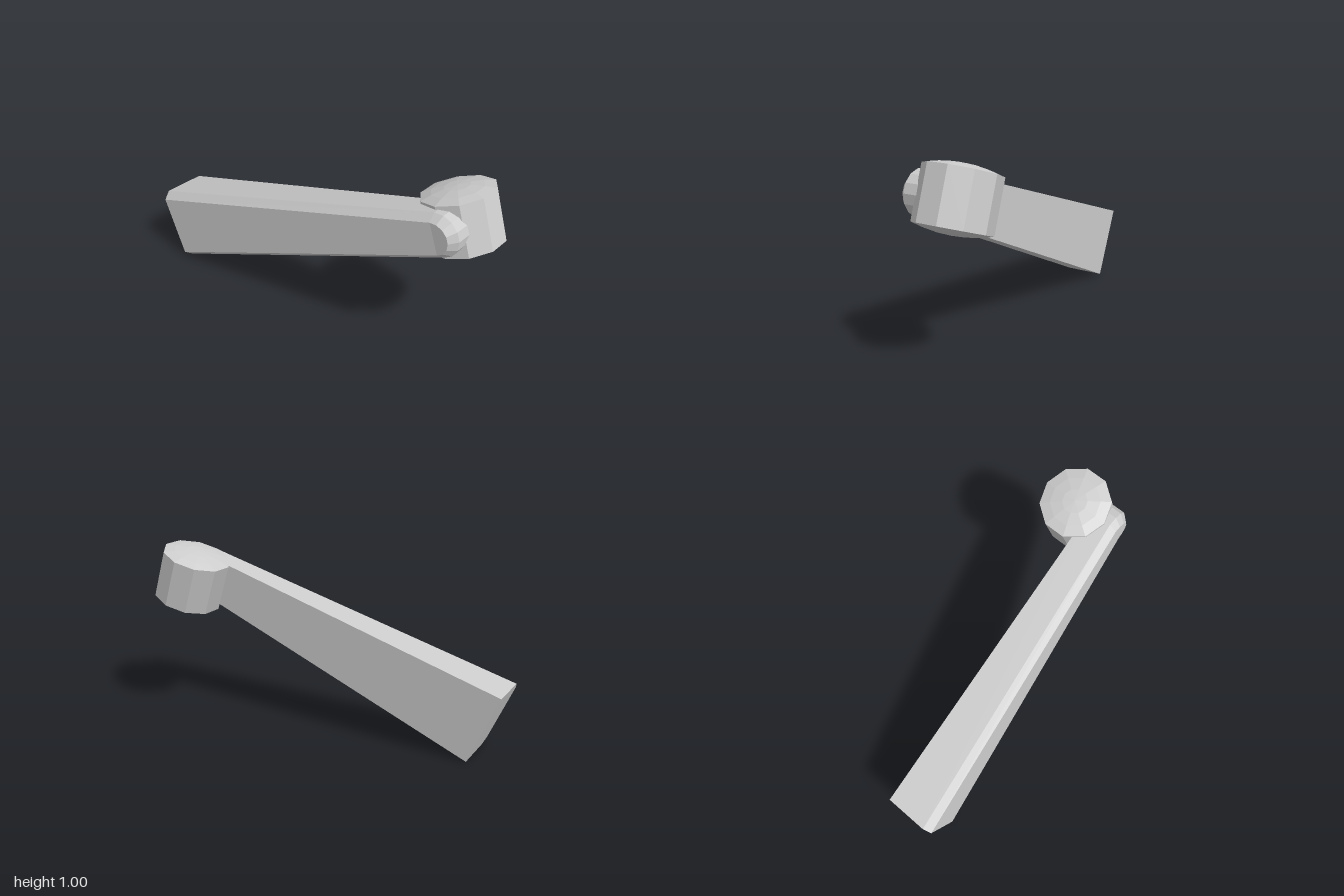
import * as THREE from 'three';

const material = new THREE.MeshStandardMaterial({ color: 0xcccccc, flatShading: true });
const ARC_STEPS = 7;

// Closed outline: two base corners joined by a rounded tip, counter-clockwise from the front
function armLoop({ bottom, top, centre, radius, baseZ, tipZ }) {
  const loop = [[...bottom, baseZ]];
  for (let i = 0; i <= ARC_STEPS; i++) {
    const a = THREE.MathUtils.degToRad(-67 + (174 * i) / ARC_STEPS);
    loop.push([centre[0] + radius * Math.cos(a), centre[1] + radius * Math.sin(a), tipZ]);
  }
  loop.push([...top, baseZ]);
  return loop;
}

// Skins a list of loops running from back to front and caps both ends
function skin(loops) {
  const n = loops[0].length;
  const index = [];
  for (let l = 0; l < loops.length - 1; l++) {
    for (let i = 0; i < n; i++) {
      const a = l * n + i, b = l * n + ((i + 1) % n);
      index.push(a, b, b + n, a, b + n, a + n);
    }
  }
  const front = (loops.length - 1) * n;
  for (let i = 0; i < Math.floor(n / 2) - 1; i++) {
    const [a, b, c, d] = [i, i + 1, n - 2 - i, n - 1 - i];
    index.push(front + a, front + b, front + c, front + a, front + c, front + d);
    index.push(a, c, b, a, d, c);
  }
  const geometry = new THREE.BufferGeometry();
  geometry.setAttribute('position', new THREE.Float32BufferAttribute(loops.flat(2), 3));
  geometry.setIndex(index);
  geometry.computeVertexNormals();
  return geometry;
}

export function createModel() {
  const group = new THREE.Group();

  // Tapered arm with a rounded tip and a chamfer around the front face
  const outer = { bottom: [-0.84, 0.003], top: [-1, 0.395], centre: [0.79, 0.826], radius: 0.116 };
  const inner = { bottom: [-0.852, 0.033], top: [-0.986, 0.358], centre: [0.786, 0.822], radius: 0.084 };
  const arm = new THREE.Mesh(skin([
    armLoop({ ...outer, baseZ: 0.055, tipZ: -0.055 }),
    armLoop({ ...outer, baseZ: 0.29, tipZ: 0.075 }),
    armLoop({ ...inner, baseZ: 0.332, tipZ: 0.115 }),
  ]), material);
  arm.name = 'arm';
  group.add(arm);

  // Ten-sided knob with shallow domed ends, leaning with the arm
  const radius = 0.19, half = 0.135, dome = 0.03;
  const cap = [0, 0.35, 0.7, 1].map((t) => [radius * t, half + dome * (1 - t * t)]);
  const profile = [...cap.map(([r, y]) => new THREE.Vector2(r, -y)),
    ...cap.reverse().map(([r, y]) => new THREE.Vector2(r, y))];
  const knob = new THREE.Mesh(new THREE.LatheGeometry(profile, 10), material);
  knob.name = 'knob';
  knob.position.set(0.781, 0.819, -0.14);
  knob.rotation.z = THREE.MathUtils.degToRad(18.5);
  group.add(knob);

  return group;
}
